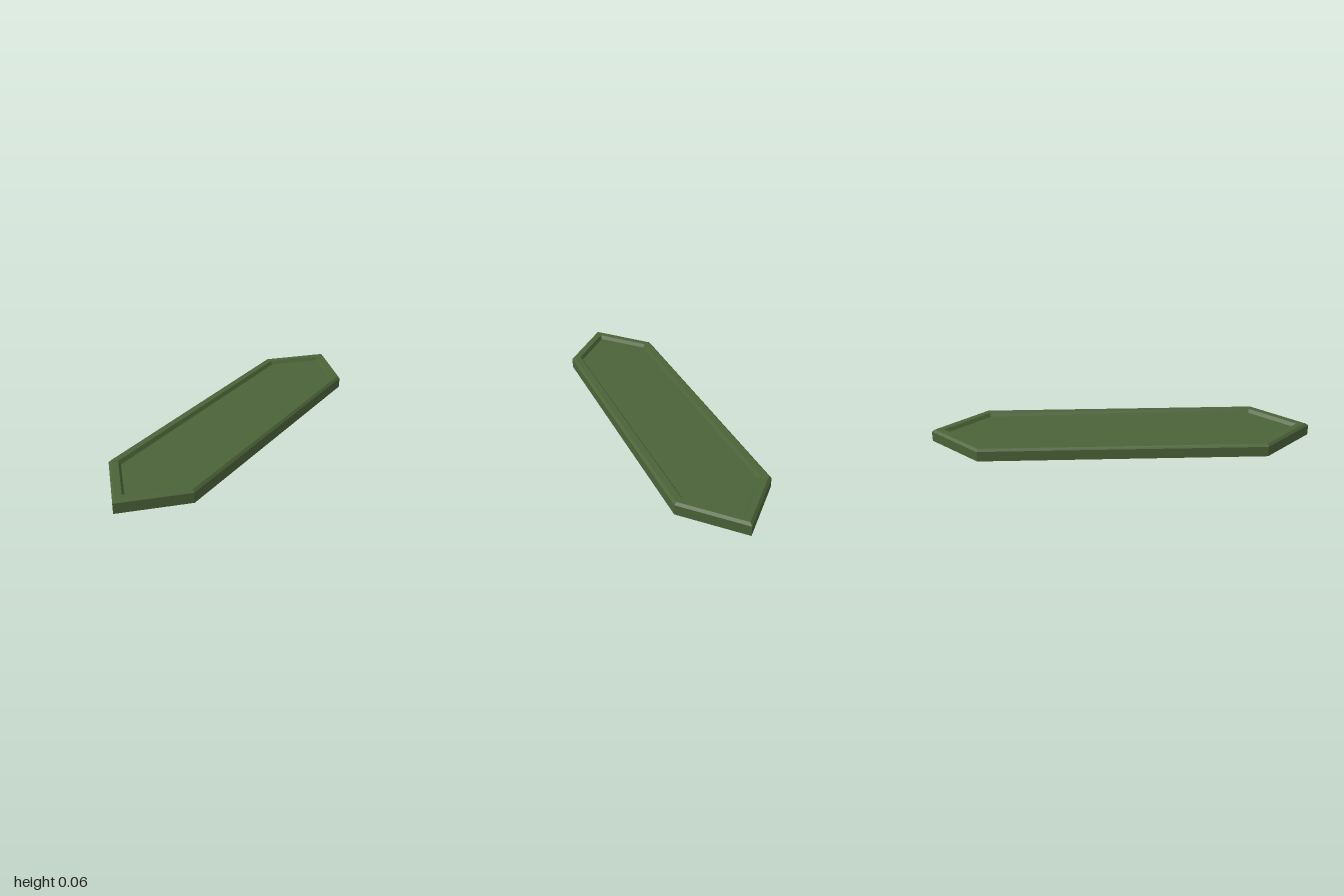
import * as THREE from 'three';

// Hexagonal outline inset by distance d, at height y
const HALF_W = 0.25, TIP = 1, SHOULDER = 0.735;
function ring(d, y) {
  const slope = (TIP - SHOULDER) / HALF_W;
  const w = HALF_W - d;
  const tip = TIP - d * Math.hypot(1, slope);
  const s = tip - slope * w;
  return [[0, tip], [w, s], [w, -s], [0, -tip], [-w, -s], [-w, s]]
    .map(([x, z]) => new THREE.Vector3(x, y, z));
}

// Faceted band between two rings
function band(a, b) {
  const points = [];
  a.forEach((p, i) => {
    const j = (i + 1) % a.length;
    points.push(p, a[j], b[j], p, b[j], b[i]);
  });
  const geometry = new THREE.BufferGeometry().setFromPoints(points);
  geometry.computeVertexNormals();
  return geometry;
}

// Flat panel filling a ring
function panel(a) {
  const centre = new THREE.Vector3(0, a[0].y, 0);
  const points = a.flatMap((p, i) => [p, a[(i + 1) % a.length], centre]);
  const geometry = new THREE.BufferGeometry().setFromPoints(points);
  geometry.computeVertexNormals();
  return geometry;
}

export function createModel() {
  const group = new THREE.Group();
  group.name = 'hexagonalTray';
  const green = new THREE.MeshStandardMaterial({
    color: 0x4b6338, flatShading: true, side: THREE.DoubleSide,
  });
  green.name = 'mossGreen';

  const add = (name, geometry) => {
    const mesh = new THREE.Mesh(geometry, green);
    mesh.name = name;
    group.add(mesh);
  };

  // Shell profile from the open base up over the rim and down to the panel
  const rings = [ring(0, 0), ring(0, 0.053), ring(0.012, 0.065), ring(0.045, 0.065), ring(0.057, 0.047)];
  ['outerWall', 'rimBevel', 'rimTop', 'innerWall'].forEach((name, i) => add(name, band(rings[i], rings[i + 1])));

  // Recessed panel
  add('recessedPanel', panel(rings[4]));
  return group;
}
